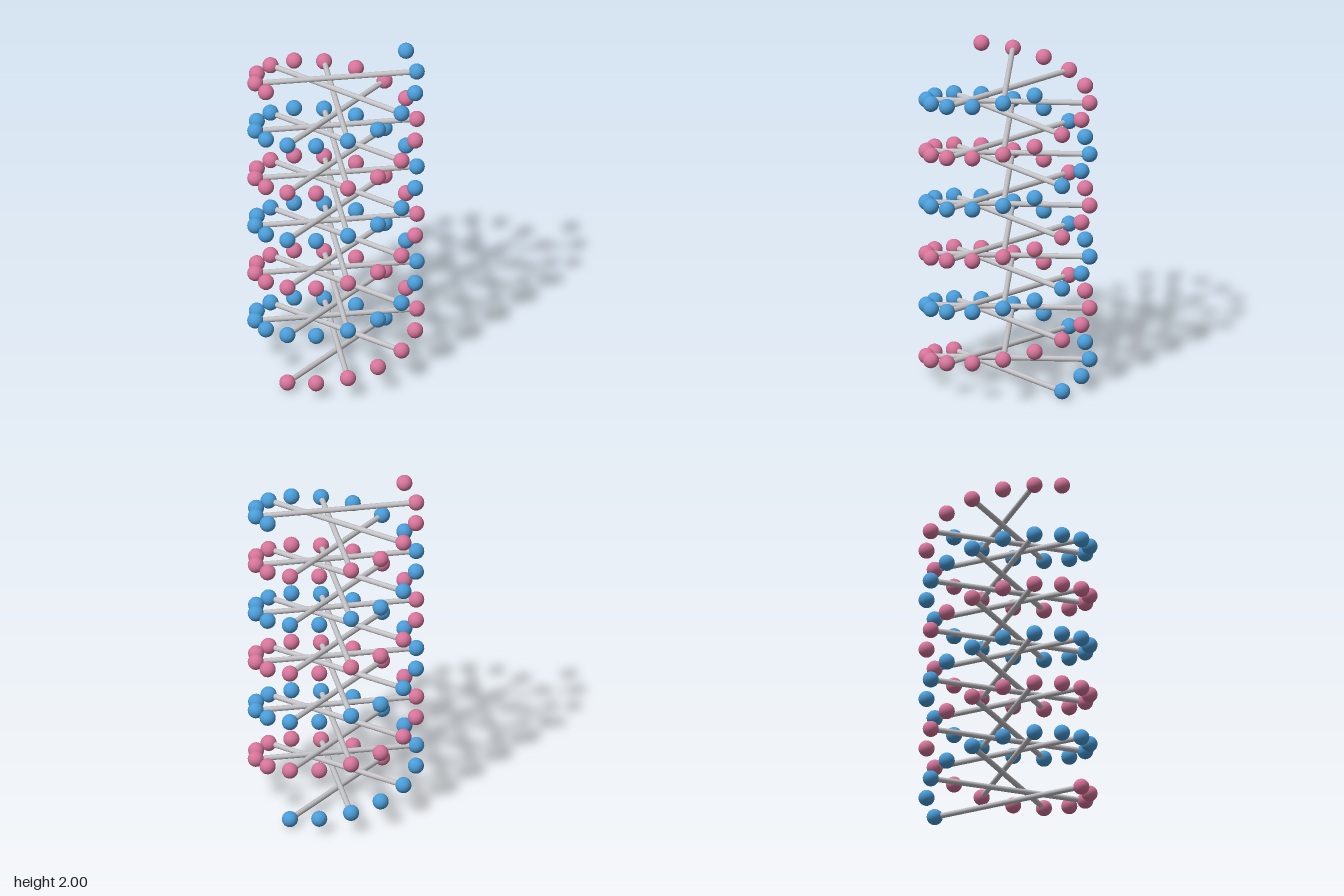
import * as THREE from 'three';

const STEPS = 48, HELIX = 0.485, BALL = 0.048, ROD = 0.0165;
const TURN = Math.PI / 8;
const RISE = (2 - 2 * BALL) / (STEPS - 1);

function material(name, color) {
  const m = new THREE.MeshStandardMaterial({ color });
  m.name = name;
  return m;
}

export function createModel() {
  const model = new THREE.Group();
  model.name = 'doubleHelix';
  const blue = material('blue', 0x4a9cd8);
  const pink = material('pink', 0xd6749a);
  const grey = material('lightGrey', 0xc4c4c8);

  const ballGeometry = new THREE.SphereGeometry(BALL, 24, 16);
  const rodGeometry = new THREE.CylinderGeometry(ROD, ROD, 2 * HELIX, 16);
  rodGeometry.rotateZ(Math.PI / 2);

  const add = (name, geometry, mat, x, y, z) => {
    const mesh = new THREE.Mesh(geometry, mat);
    mesh.name = name;
    mesh.position.set(x, y, z);
    model.add(mesh);
    return mesh;
  };

  for (let i = 0; i < STEPS; i++) {
    const angle = i * TURN;
    const y = BALL + i * RISE;
    const x = HELIX * Math.cos(angle), z = -HELIX * Math.sin(angle);

    // One ball on each strand, facing each other across the axis
    add('blueStrandBall', ballGeometry, blue, x, y, z);
    add('pinkStrandBall', ballGeometry, pink, -x, y, -z);

    // A rung joins every second pair
    if (i % 2 === 0) add('rung', rodGeometry, grey, 0, y, 0).rotation.y = angle;
  }
  return model;
}
